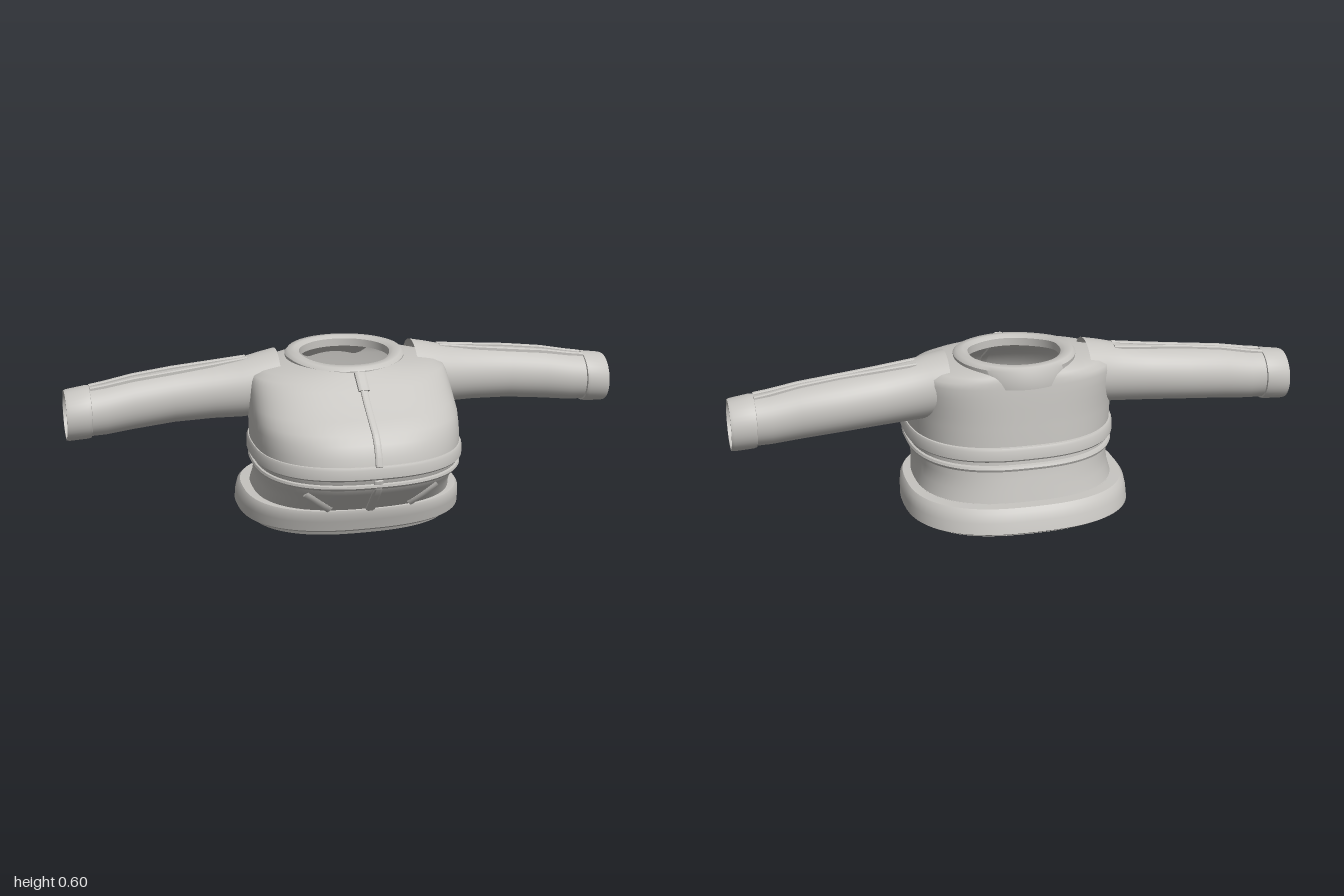
import * as THREE from 'three';
import { toCreasedNormals } from 'three/addons/utils/BufferGeometryUtils.js';

const V = (x, y, z) => new THREE.Vector3(x, y, z);

// Skin a list of closed cross-sections, optionally capping both ends
function skin(sections, { crease = 0.6, cap = false, loop = false } = {}) {
  const n = sections[0].length, m = sections.length, index = [];
  const pos = sections.flat().flatMap((p) => [p.x, p.y, p.z]);
  for (let i = 0; i < (loop ? m : m - 1); i++) {
    for (let j = 0; j < n; j++) {
      const a = i * n + j, b = i * n + (j + 1) % n;
      const c = ((i + 1) % m) * n + j, d = ((i + 1) % m) * n + (j + 1) % n;
      index.push(a, c, b, b, c, d);
    }
  }
  if (cap) {
    const e = (m - 1) * n;
    for (let j = 1; j < n - 1; j++) index.push(0, j, j + 1, e, e + j + 1, e + j);
  }
  const g = new THREE.BufferGeometry();
  g.setAttribute('position', new THREE.Float32BufferAttribute(pos, 3));
  g.setIndex(index);
  return toCreasedNormals(g, crease);
}

// Horizontal body ring: height, half width, front z, back z, squareness
function ring([y, w, zf, zb, n = 2.5]) {
  const c = (zf + zb) / 2, h = (zf - zb) / 2, pts = [];
  const pw = (v) => Math.sign(v) * Math.pow(Math.abs(v), 2 / n);
  for (let i = 0; i < 72; i++) {
    const a = (i / 72) * Math.PI * 2;
    pts.push(V(w * pw(Math.cos(a)), y, c + h * pw(Math.sin(a))));
  }
  return pts;
}

// Raised strip following a path, with a side and an outward direction
function strip(path, side, out, w, h) {
  const at = (p, s, o) => p.clone().addScaledVector(side, s * w).addScaledVector(out, o * h);
  return skin(path.map((p) => [at(p, -1, -1), at(p, -1, 0.6), at(p, -0.5, 1),
    at(p, 0.5, 1), at(p, 1, 0.6), at(p, 1, -1)]), { cap: true });
}

const waist = [
  [0.1, 0.356, 0.275, -0.338], [0.15, 0.346, 0.325, -0.326],
  [0.19, 0.347, 0.362, -0.316], [0.225, 0.357, 0.393, -0.308], [0.265, 0.36, 0.4, -0.303],
];

// Front z of the waist at a given x and y
function waistFront(x, y) {
  let i = 0;
  while (i < waist.length - 2 && waist[i + 1][0] < y) i++;
  const t = (y - waist[i][0]) / (waist[i + 1][0] - waist[i][0]);
  const [w, zf, zb] = [1, 2, 3].map((k) => waist[i][k] + t * (waist[i + 1][k] - waist[i][k]));
  return (zf + zb) / 2 + (zf - zb) / 2 * Math.pow(1 - Math.pow(Math.abs(x / w), 2.5), 0.4);
}

// Sleeve sections: x, centre y, centre z, radius y, radius z
const sleeveRows = [
  [0.25, 0.487, -0.093, 0.113, 0.112], [0.31, 0.477, -0.092, 0.111, 0.106],
  [0.38, 0.466, -0.092, 0.105, 0.098], [0.48, 0.458, -0.105, 0.099, 0.093],
  [0.62, 0.448, -0.115, 0.096, 0.091], [0.76, 0.433, -0.11, 0.094, 0.086],
  [0.86, 0.418, -0.105, 0.09, 0.085], [0.93, 0.413, -0.104, 0.087, 0.085],
];
function sleeveRing([x, y, z, ry, rz]) {
  return Array.from({ length: 40 }, (_, i) => {
    const a = (i / 40) * Math.PI * 2;
    return V(x, y + ry * Math.sin(a), z + rz * Math.cos(a));
  });
}

export function createModel() {
  const model = new THREE.Group();
  model.name = 'jacket';
  const cloth = new THREE.MeshStandardMaterial({ color: 0xc6c4c0, side: THREE.DoubleSide });
  cloth.name = 'light grey cloth';
  const add = (name, geometry, parent = model) => {
    const mesh = new THREE.Mesh(geometry, cloth);
    mesh.name = name;
    parent.add(mesh);
    return mesh;
  };
  const body = (name, rows, options) => add(name, skin(rows.map(ring), options));

  // Torso shell, from the hem upwards
  body('hemLining', [[0, 0.362, 0.235, -0.364], [0.03, 0.362, 0.25, -0.36], [0.11, 0.354, 0.27, -0.338]]);
  body('hemBand', [
    [0.022, 0.36, 0.242, -0.36], [0.02, 0.39, 0.26, -0.4], [0.028, 0.402, 0.27, -0.411],
    [0.065, 0.401, 0.281, -0.4], [0.095, 0.396, 0.291, -0.388], [0.108, 0.386, 0.29, -0.375],
    [0.11, 0.352, 0.28, -0.335],
  ]);
  body('waist', waist);
  body('thinBelt', [
    [0.218, 0.35, 0.38, -0.305], [0.22, 0.364, 0.398, -0.318], [0.229, 0.368, 0.407, -0.322],
    [0.237, 0.365, 0.406, -0.318], [0.24, 0.352, 0.39, -0.305],
  ]);
  body('wideBelt', [
    [0.254, 0.352, 0.392, -0.302], [0.256, 0.368, 0.408, -0.316], [0.262, 0.374, 0.413, -0.32],
    [0.295, 0.373, 0.413, -0.318], [0.304, 0.368, 0.409, -0.313], [0.306, 0.355, 0.395, -0.3],
  ]);
  body('chest', [
    [0.295, 0.364, 0.405, -0.304], [0.33, 0.366, 0.398, -0.301], [0.37, 0.366, 0.379, -0.297],
    [0.4, 0.366, 0.355, -0.294], [0.435, 0.364, 0.3, -0.291], [0.475, 0.361, 0.24, -0.287],
    [0.51, 0.357, 0.194, -0.283], [0.53, 0.349, 0.166, -0.28, 2.45],
    [0.546, 0.318, 0.142, -0.277, 2.3], [0.558, 0.265, 0.124, -0.274, 2.1],
    [0.566, 0.195, 0.108, -0.272, 2],
  ], { crease: 0.9 });

  // Collar, lower in front and drooping at the back
  const profile = [[0.162, 0.55], [0.162, 0.578], [0.178, 0.588], [0.203, 0.586], [0.214, 0.574], [0.212, 0.55]];
  const collar = Array.from({ length: 72 }, (_, i) => {
    const a = (i / 72) * Math.PI * 2, s = Math.sin(a);
    const droop = 0.042 * THREE.MathUtils.smoothstep(-s, 0.72, 0.92);
    const dip = 0.014 * THREE.MathUtils.smoothstep(s, 0.1, 1);
    return profile.map(([r, y], k) =>
      V(r * Math.cos(a), y - dip - (k === 5 ? droop : 0), -0.085 + r * s));
  });
  add('collar', skin(collar, { loop: true, crease: 0.8 }));

  // Front zip and its cover
  const X = V(1, 0, 0), out = V(0, 0.55, 0.83);
  const zip = (name, pts, w, h, o) => add(name, strip(pts.map(([y, z]) => V(0, y, z)), X, o, w, h));
  zip('upperZip', [[0.535, 0.163], [0.51, 0.197], [0.475, 0.242], [0.435, 0.302], [0.4, 0.357],
    [0.37, 0.381], [0.33, 0.4], [0.3, 0.408]], 0.012, 0.01, out);
  zip('zipCover', [[0.556, 0.135], [0.546, 0.15], [0.53, 0.17], [0.508, 0.2]], 0.019, 0.015, out);
  zip('lowerZip', [[0.255, 0.398], [0.225, 0.393], [0.19, 0.362], [0.15, 0.325], [0.105, 0.28]],
    0.016, 0.01, V(0, -0.5, 0.86));

  // Sleeves, slanted pockets and trim on both sides
  for (const s of [1, -1]) {
    const side = new THREE.Group();
    side.name = s > 0 ? 'leftSide' : 'rightSide';
    side.scale.x = s;
    model.add(side);

    add('sleeve', skin(sleeveRows.map(sleeveRing), { crease: 1 }), side);
    const cuff = [[0.912, 0.084], [0.914, 0.092], [0.925, 0.094], [0.99, 0.091], [1, 0.088], [1, 0.081], [0.93, 0.08]];
    add('cuff', skin(cuff.map(([x, r]) =>
      sleeveRing([x, 0.414 - (x - 0.912) * 0.1, -0.104, r, r]))), side);

    // Rounded lining closing the sleeve inside the cuff
    const lining = add('sleeveLining',
      new THREE.SphereGeometry(0.084, 32, 10, 0, Math.PI * 2, 0, Math.PI / 2), side);
    lining.rotation.z = -Math.PI / 2;
    lining.scale.y = 0.5;
    lining.position.set(0.89, 0.413, -0.104);

    // Twin piping along the top of the sleeve
    for (const z of [-0.084, -0.12]) {
      const path = sleeveRows.slice(2, 7).map(([x, y, zc, ry, rz]) =>
        V(x, y + ry * Math.sqrt(1 - ((z - zc) / rz) ** 2), z));
      path[0].x = 0.355;
      path.push(V(0.913, 0.498, z));
      add('sleevePiping', strip(path, V(0, 0, 1), V(0, 1, 0), 0.01, 0.009), side);
    }

    const pocket = [0, 0.25, 0.5, 0.75, 1].map((t) => {
      const x = 0.232 - 0.092 * t, y = 0.192 - 0.077 * t;
      return V(x, y, waistFront(x, y));
    });
    add('pocketTrim', strip(pocket, V(0.64, -0.77, -0.5).normalize(),
      V(0.4, -0.35, 0.85).normalize(), 0.014, 0.008), side);
  }
  return model;
}
